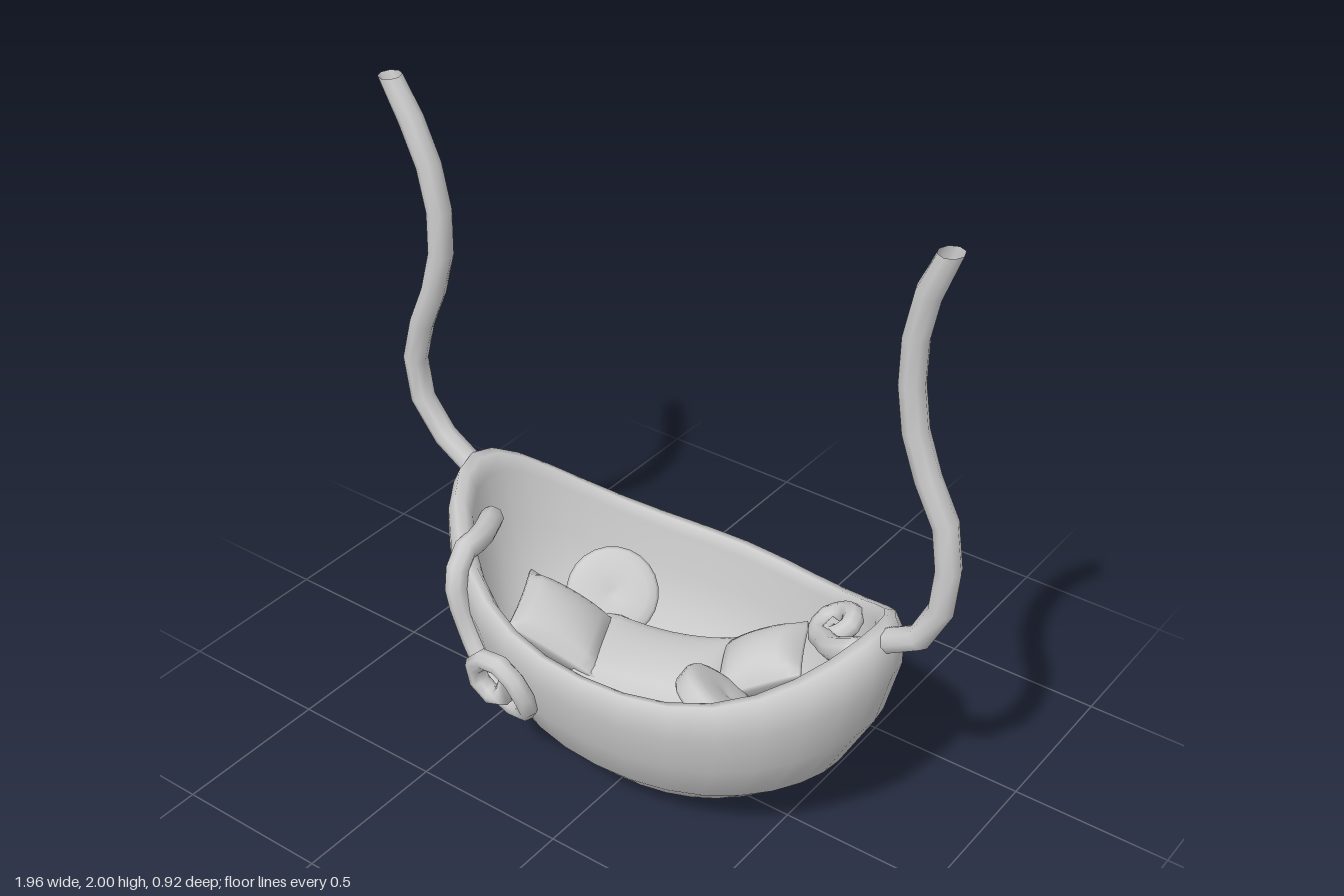
import * as THREE from 'three';
import { mergeVertices } from 'three/addons/utils/BufferGeometryUtils.js';

const material = new THREE.MeshStandardMaterial({ color: 0xcccccc, side: THREE.DoubleSide });

function addMesh(parent, name, geometry) {
  const mesh = new THREE.Mesh(geometry, material);
  mesh.name = name;
  parent.add(mesh);
  return mesh;
}

// Weld coincident vertices and shade smoothly
function smooth(geometry) {
  geometry.deleteAttribute('uv');
  geometry.deleteAttribute('normal');
  const welded = mergeVertices(geometry, 1e-4);
  welded.computeVertexNormals();
  return welded;
}

// Boat-shaped bowl: a wall profile [radius, height] swept round a slightly
// pointed oval whose rim rises towards both ends
function bowlGeometry() {
  const profile = [
    [0, 0.01], [0.17, 0.013], [0.33, 0.036], [0.58, 0.15], [0.8, 0.34], [0.94, 0.59], [1, 0.82],
    [0.995, 0.93], [0.96, 1], [0.915, 0.995], [0.88, 0.93],
    [0.85, 0.7], [0.745, 0.45], [0.54, 0.28], [0.28, 0.2], [0, 0.17],
  ];
  const sides = 32, position = [], index = [];
  profile.forEach(([r, h], i) => {
    for (let j = 0; j < sides; j++) {
      const a = (j / sides) * Math.PI * 2, c = Math.cos(a), s = Math.sin(a);
      const rimY = 0.56 + 0.26 * Math.abs(c) ** 3;
      position.push(0.033 + 0.773 * r * c, rimY * h, -0.02 + 0.44 * r * s * (1 - 0.08 * c * c));
      if (i === 0) continue;
      const k = (j + 1) % sides, p = (i - 1) * sides, q = i * sides;
      index.push(p + j, q + j, p + k, p + k, q + j, q + k);
    }
  });
  // Level the two poles so each is a single point
  for (const ring of [0, profile.length - 1]) {
    const y = ring ? 0.1 : 0.002;
    for (let j = 0; j < sides; j++) position[(ring * sides + j) * 3 + 1] = y;
  }
  const geometry = new THREE.BufferGeometry();
  geometry.setAttribute('position', new THREE.Float32BufferAttribute(position, 3));
  geometry.setIndex(index);
  return smooth(geometry);
}

// Tube whose radius follows radiusAt(t)
function taperedTube(points, segments, radiusAt) {
  const curve = new THREE.CatmullRomCurve3(points.map((p) => new THREE.Vector3(...p)));
  const sides = 8;
  const geometry = new THREE.TubeGeometry(curve, segments, 1, sides);
  const pos = geometry.attributes.position, v = new THREE.Vector3();
  for (let i = 0; i <= segments; i++) {
    const centre = curve.getPointAt(i / segments);
    for (let j = 0; j <= sides; j++) {
      const k = i * (sides + 1) + j;
      v.fromBufferAttribute(pos, k).sub(centre).multiplyScalar(radiusAt(i / segments)).add(centre);
      pos.setXYZ(k, v.x, v.y, v.z);
    }
  }
  return geometry;
}

// Rope in the plane of the bowl's long axis, cut level at the top
function ropeGeometry(points) {
  const geometry = taperedTube(points.map(([x, y]) => [x, y, -0.02]), 10, () => 0.038);
  const pos = geometry.attributes.position;
  for (let k = 0; k <= 8; k++) pos.setY(k, 2);
  return smooth(geometry);
}

// Curling tendril with closed ends, slightly thinner towards the curl
function tendrilGeometry(points) {
  return smooth(taperedTube(points, 25, (t) => (t === 0 || t === 1 ? 0.001 : 0.039 - 0.009 * t)));
}

// Stuffed cushion: thin at the seams, pinched sides, optional sag along x
function cushionGeometry(width, depth, thickness, pinch, sag) {
  const geometry = new THREE.BoxGeometry(2, 2, 2, 10, 1, 10);
  const pos = geometry.attributes.position;
  for (let k = 0; k < pos.count; k++) {
    const u = pos.getX(k), w = pos.getZ(k), side = pos.getY(k);
    const puff = Math.sqrt(Math.max(0, (1 - u * u) * (1 - w * w)));
    pos.setXYZ(k,
      0.5 * width * u * (1 - pinch * (1 - w * w)),
      0.5 * thickness * side * (0.1 + 0.9 * puff) + sag * u * u,
      0.5 * depth * w * (1 - pinch * (1 - u * u)));
  }
  return smooth(geometry);
}

// Round cushion with a straight rim and a small dimple in each face
function roundCushionGeometry() {
  const half = [[0, 0.034], [0.015, 0.038], [0.06, 0.046], [0.11, 0.044], [0.136, 0.036], [0.145, 0.024]];
  const outline = [...half.map(([r, y]) => [r, -y]), ...half.slice().reverse()];
  return smooth(new THREE.LatheGeometry(outline.map(([r, y]) => new THREE.Vector2(r, y)), 24));
}

export function createModel() {
  const model = new THREE.Group();
  model.name = 'hangingBasketSeat';

  addMesh(model, 'bowl', bowlGeometry());

  // Hanging ropes
  addMesh(model, 'rightRope', ropeGeometry([
    [-0.94, 2], [-0.83, 1.8], [-0.785, 1.62], [-0.79, 1.47], [-0.84, 1.31],
    [-0.89, 1.2], [-0.92, 1.06], [-0.885, 0.92], [-0.8, 0.83], [-0.7, 0.77]]));
  addMesh(model, 'leftRope', ropeGeometry([
    [0.875, 2], [0.81, 1.83], [0.795, 1.66], [0.81, 1.5], [0.87, 1.33],
    [0.935, 1.2], [0.945, 1.04], [0.92, 0.9], [0.87, 0.83], [0.76, 0.77]]));

  // Tendril that climbs over the front rim and curls on the outside
  addMesh(model, 'frontTendril', tendrilGeometry([
    [-0.64, 0.62, -0.03], [-0.59, 0.65, 0.05], [-0.54, 0.67, 0.15], [-0.52, 0.68, 0.25],
    [-0.51, 0.6, 0.3], [-0.47, 0.45, 0.3], [-0.42, 0.37, 0.31], [-0.34, 0.3, 0.33],
    [-0.25, 0.285, 0.35], [-0.18, 0.33, 0.38], [-0.17, 0.42, 0.42], [-0.22, 0.49, 0.43],
    [-0.29, 0.495, 0.43], [-0.345, 0.44, 0.42], [-0.325, 0.375, 0.415], [-0.27, 0.36, 0.42],
    [-0.225, 0.4, 0.43], [-0.245, 0.44, 0.43]]));

  // Tendril that curls inside the other end
  addMesh(model, 'innerTendril', tendrilGeometry([
    [0.71, 0.71, -0.03], [0.64, 0.67, -0.04], [0.58, 0.63, -0.07], [0.52, 0.59, -0.13],
    [0.46, 0.56, -0.19], [0.45, 0.57, -0.25], [0.5, 0.6, -0.27], [0.55, 0.63, -0.23],
    [0.56, 0.62, -0.18], [0.52, 0.59, -0.16], [0.5, 0.59, -0.2], [0.53, 0.6, -0.215]]));

  // Seat pad with a pillow at each end
  const pad = addMesh(model, 'seatPad', cushionGeometry(0.44, 0.33, 0.13, 0.03, 0.05));
  pad.position.set(0, 0.31, -0.03);
  pad.rotation.set(0, 0.3, 0);
  for (const [name, x, y, z, turn, tilt, width, depth] of [
    ['rightPillow', -0.28, 0.42, 0.09, 0.45, -0.55, 0.31, 0.29],
    ['leftPillow', 0.285, 0.385, -0.16, 0.48, 0.45, 0.28, 0.26],
  ]) {
    const pillow = addMesh(model, name, cushionGeometry(width, depth, 0.15, 0.04, 0));
    pillow.position.set(x, y, z);
    pillow.rotation.set(0, turn, tilt, 'YXZ');
  }

  // Round cushions leaning on the back and front walls
  const up = new THREE.Vector3(0, 1, 0);
  for (const [name, centre, facing] of [
    ['backRoundCushion', [-0.28, 0.39, -0.16], [0.48, 0.58, 0.6]],
    ['frontRoundCushion', [0.3, 0.385, 0.08], [0.35, 0.72, -0.5]],
  ]) {
    const cushion = addMesh(model, name, roundCushionGeometry());
    cushion.position.set(...centre);
    cushion.quaternion.setFromUnitVectors(up, new THREE.Vector3(...facing).normalize());
  }

  return model;
}
